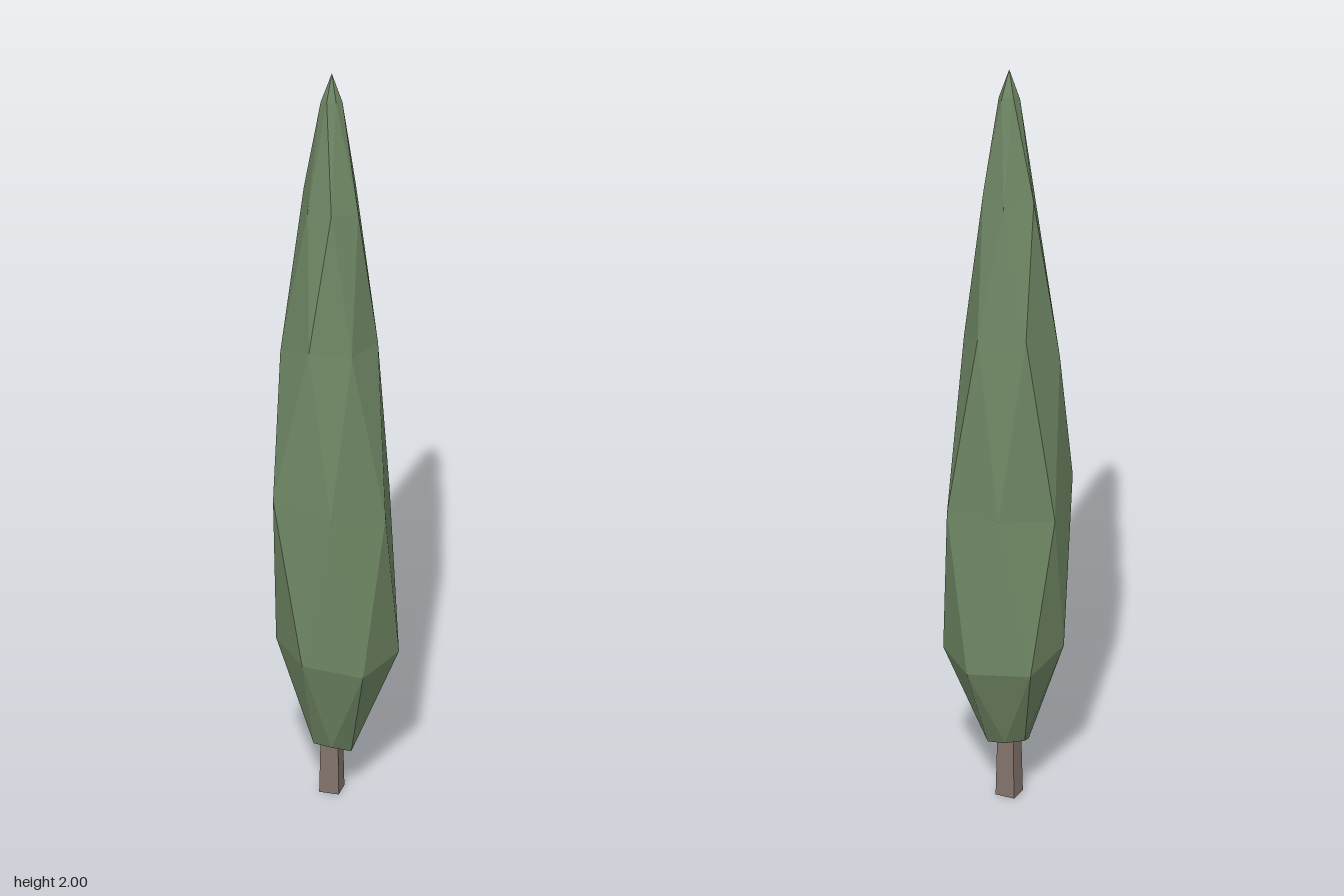
import * as THREE from 'three';

// Crown rings from bottom to top: six radii and six heights each.
// Every second ring is turned by half a step.
const RINGS = [
  { r: [.055, .055, .055, .05, .05, .055], y: [.15, .12, .145, .14, .16, .165] },
  { r: [.163, .156, .14, .135, .158, .157], y: [.385, .385, .41, .42, .4, .39] },
  { r: [.16, .152, .14, .163, .147, .14], y: [.8, .8, .83, .85, .8, .82] },
  { r: [.112, .1, .108, .125, .125, .117], y: [1.25, 1.25, 1.27, 1.22, 1.31, 1.3] },
  { r: [.067, .075, .07, .067, .079, .074], y: [1.67, 1.63, 1.64, 1.63, 1.66, 1.65] },
  { r: [.026, .021, .024, .027, .03, .028], y: [1.92, 1.93, 1.93, 1.92, 1.94, 1.93] },
];
const SIDES = 6;

function crownGeometry() {
  const positions = [];
  const index = [];
  RINGS.forEach((ring, i) => {
    for (let k = 0; k < SIDES; k++) {
      const a = (k + (i % 2) / 2) * Math.PI * 2 / SIDES;
      positions.push(ring.r[k] * Math.cos(a), ring.y[k], ring.r[k] * Math.sin(a));
    }
  });
  const at = (ring, k) => ring * SIDES + (k + SIDES) % SIDES;
  const last = RINGS.length - 1;
  const base = RINGS.length * SIDES;
  const tip = base + 1;
  positions.push(0, .17, 0, 0, 2, 0);

  for (let k = 0; k < SIDES; k++) {
    // zigzag bands between neighbouring rings
    for (let i = 0; i < last; i++) {
      const s = i % 2;
      index.push(at(i, k + 1), at(i, k), at(i + 1, k + s));
      index.push(at(i, k), at(i + 1, k - 1 + s), at(i + 1, k + s));
    }
    // underside and pointed top
    index.push(at(0, k), at(0, k + 1), base);
    index.push(at(last, k + 1), at(last, k), tip);
  }

  const indexed = new THREE.BufferGeometry();
  indexed.setAttribute('position', new THREE.Float32BufferAttribute(positions, 3));
  indexed.setIndex(index);
  const geometry = indexed.toNonIndexed();
  geometry.computeVertexNormals();
  return geometry;
}

export function createModel() {
  const foliage = new THREE.MeshStandardMaterial({ color: 0x708865, flatShading: true });
  foliage.name = 'foliage green';
  const bark = new THREE.MeshStandardMaterial({ color: 0x82746a, flatShading: true });
  bark.name = 'bark brown';

  const tree = new THREE.Group();
  tree.name = 'tree';

  const crown = new THREE.Mesh(crownGeometry(), foliage);
  crown.name = 'crown';

  // four-sided tapering trunk, corners on the axes
  const trunk = new THREE.Mesh(new THREE.CylinderGeometry(.027, .035, .3, 4), bark);
  trunk.name = 'trunk';
  trunk.position.y = .15;

  tree.add(crown, trunk);
  return tree;
}
